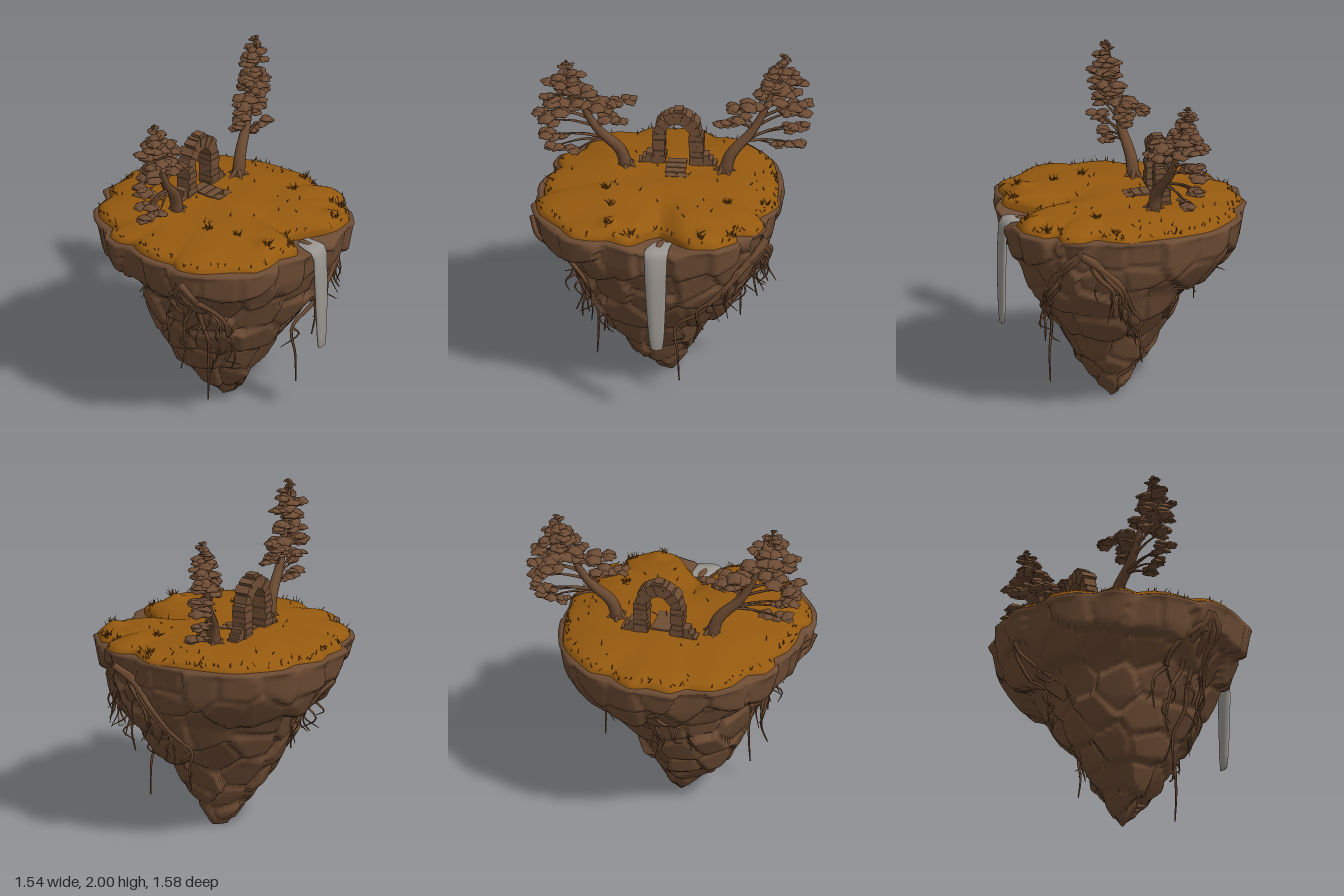
import * as THREE from 'three';
import { mergeGeometries } from 'three/addons/utils/BufferGeometryUtils.js';

const V = (x, y, z) => new THREE.Vector3(x, y, z);
const { lerp, smoothstep, clamp } = THREE.MathUtils;
const TAU = Math.PI * 2;

let seed = 7;
const rand = (a = 0, b = 1) => {
  seed = (seed * 16807) % 2147483647;
  return a + (b - a) * seed / 2147483647;
};

const mat = (name, color) => {
  const m = new THREE.MeshStandardMaterial({ color });
  m.name = name;
  return m;
};

// Island outline seen from above (x, z)
const OUTLINE = [
  [0, -.8], [.17, -.76], [.33, -.7], [.45, -.6], [.55, -.47], [.6, -.38], [.68, -.28], [.69, -.18], [.68, -.1],
  [.77, -.04], [.78, .03], [.76, .1], [.68, .14], [.74, .21], [.7, .37], [.62, .43], [.55, .48], [.49, .53],
  [.38, .52], [.31, .63], [.27, .67], [.1, .68], [.04, .73], [-.1, .79], [-.25, .74], [-.43, .68], [-.54, .57],
  [-.53, .5], [-.62, .4], [-.67, .28], [-.66, .15], [-.73, .1], [-.76, 0], [-.7, -.1], [-.72, -.25],
  [-.67, -.38], [-.55, -.48], [-.52, -.6], [-.38, -.65], [-.3, -.73], [-.12, -.73],
].map(([x, z]) => [(Math.atan2(z, x) + TAU) % TAU, Math.hypot(x, z)]).sort((a, b) => a[0] - b[0]);

function outline(th) {
  th = ((th % TAU) + TAU) % TAU;
  const n = OUTLINE.length;
  let i = OUTLINE.findIndex(p => p[0] > th);
  if (i < 0) i = 0;
  const a = OUTLINE[(i + n - 1) % n], b = OUTLINE[i];
  const span = (b[0] - a[0] + TAU) % TAU;
  return lerp(a[1], b[1], ((th - a[0] + TAU) % TAU) / span);
}
// 1 where the stream leaves the island
const notch = th => Math.exp(-Math.pow((th - .95) / .22, 4));

// Extents of the rock to each side, at these heights
const YS = [0, .05, .2, .4, .6, .76, .82, .9, 1, 1.16];
const PX = [.09, .14, .2, .32, .52, .63, .66, .69, .73, .77];
const NX = [.0, .04, .18, .35, .45, .47, .49, .6, .72, .77];
const PZ = [.02, .07, .22, .33, .46, .53, .56, .62, .73, .77];
const NZ = [.02, .05, .16, .25, .39, .46, .6, .67, .73, .77];
function table(t, y) {
  let i = 1;
  while (i < YS.length - 1 && YS[i] < y) i++;
  return lerp(t[i - 1], t[i], clamp((y - YS[i - 1]) / (YS[i] - YS[i - 1]), 0, 1));
}
function rockBase(th, y) {
  const c = Math.cos(th), s = Math.sin(th);
  const m = lerp(1, outline(th) / .77, smoothstep(y, .6, 1.1));
  return V(c * m * table(c > 0 ? PX : NX, y), y, s * m * table(s > 0 ? PZ : NZ, y));
}

// Closed-ring surface: fn(i, j) gives vertex i of ring j
function loft(n, rings, fn) {
  const pos = [], idx = [];
  for (let j = 0; j < rings; j++) for (let i = 0; i < n; i++) {
    pos.push(...fn(i, j).toArray());
    if (j === rings - 1) continue;
    const a = j * n + i, b = j * n + (i + 1) % n;
    idx.push(a, a + n, b, b, a + n, b + n);
  }
  const g = new THREE.BufferGeometry();
  g.setAttribute('position', new THREE.Float32BufferAttribute(pos, 3));
  g.setIndex(idx);
  g.computeVertexNormals();
  return g;
}

// Tapered tube through points
function tube(pts, r0, r1, seg = 14, sides = 7) {
  const curve = new THREE.CatmullRomCurve3(pts);
  const g = new THREE.TubeGeometry(curve, seg, 1, sides), p = g.attributes.position;
  const v = V(0, 0, 0);
  for (let k = 0; k < p.count; k++) {
    const t = Math.floor(k / (sides + 1)) / seg, c = curve.getPointAt(t);
    v.fromBufferAttribute(p, k).sub(c).multiplyScalar(lerp(r0, r1, t)).add(c);
    p.setXYZ(k, v.x, v.y, v.z);
  }
  return g;
}

// Rock body: boulder-like cells, each flattened towards its own plane
function rockGeometry() {
  const cells = [];
  [[1.07, 20], [.89, 15], [.71, 12], [.53, 10], [.35, 8], [.19, 6], [.05, 4]].forEach(([y, n], k) => {
    for (let i = 0; i < n; i++) {
      const th = (i + rand(-.35, .35) + k * .5) / n * TAU;
      const p = rockBase(th, y + rand(-.05, .05));
      const nrm = V(Math.cos(th + rand(-.25, .25)), y > 1 ? -.15 : -.5 + rand(-.2, .25), Math.sin(th)).normalize();
      cells.push({ p: p.addScaledVector(nrm, rand(-.015, .015)), n: nrm });
    }
  });
  const N = 220, rows = 68, cap = [[.97, 1.172], [.88, 1.168], [.5, 1.165]];
  return loft(N, rows + 1 + cap.length, (i, j) => {
    const th = i / N * TAU;
    if (j > rows) {
      const [s, y] = cap[j - rows - 1], r = outline(th) * s;
      return V(Math.cos(th) * r, y - .035 * notch(th), Math.sin(th) * r);
    }
    if (j === 0) return V(.04, 0, 0);
    const y = 1.16 * (j - 1) / (rows - 1), v = rockBase(th, y);
    let d1 = 9, d2 = 9, best;
    for (const c of cells) {
      const d = c.p.distanceTo(v);
      if (d < d1) { d2 = d1; d1 = d; best = c; } else if (d < d2) d2 = d;
    }
    const fade = smoothstep(1.18 - y, 0, .06) * smoothstep(y, 0, .05);
    const push = clamp(best.p.clone().sub(v).dot(best.n) * .75, -.03, .04);
    const groove = .017 * (1 - smoothstep(d2 - d1, 0, .04));
    v.addScaledVector(best.n, fade * (push - groove));
    v.y = Math.max(v.y - .035 * notch(th) * smoothstep(y, 1.05, 1.16), 0);
    return v;
  });
}

// Turf: low dome with a notch where the stream leaves
const grassEdge = th => outline(th) * (.962 + .012 * Math.cos(th) + .01 * Math.sin(th * 9)) * (1 - .25 * notch(th));
function groundY(x, z) {
  const th = (Math.atan2(z, x) + TAU) % TAU, rho = Math.min(1, Math.hypot(x, z) / grassEdge(th));
  const along = clamp(x * .62 + z * .78, 0, .6), off = Math.hypot(x - along * .62, z - along * .78);
  const mound = (a, b) => .035 * Math.exp(-((x - a) ** 2 + (z - b) ** 2) / .003);
  return 1.193 + .066 * (1 - rho ** 4) - .03 * smoothstep(along, .05, .4) * Math.exp(-off * off / .008)
    + .006 * Math.sin(x * 13) * Math.cos(z * 11) + mound(.58, .33) + mound(.05, .57);
}
function grassGeometry() {
  const N = 180, R = 26;
  return loft(N, R + 1, (i, j) => {
    const th = i / N * TAU, s = j < 2 ? 1 : 1 - (j - 1) / (R - 1);
    const r = grassEdge(th) * (j === 1 ? .992 : s), x = Math.cos(th) * r, z = Math.sin(th) * r;
    return V(x, j === 0 ? 1.155 - .04 * notch(th) : groundY(x, z) - (j === 1 ? .008 : 0), z);
  });
}

// Grass blades: rim fringe, loose blades and clumps
function bladesGeometry() {
  const out = [];
  const blade = (x, z, h, tilt) => {
    const g = new THREE.ConeGeometry(.004, h, 4).translate(0, h / 2, 0);
    g.rotateX(tilt).rotateY(rand(0, TAU));
    out.push(g.translate(x, groundY(x, z) - .004, z));
  };
  for (let i = 0; i < 140; i++) {
    const th = rand(0, TAU), r = grassEdge(th) * (i < 110 ? rand(.93, .99) : Math.sqrt(rand(.02, .9)));
    blade(Math.cos(th) * r, Math.sin(th) * r, rand(.02, .045), rand(.2, 1));
  }
  for (const [x, z] of [[-.2, .28], [-.06, .41], [.47, -.04], [.05, .6], [.2, .58], [.57, .36], [.62, -.2], [.68, .2]])
    for (let i = 0; i < 12; i++) blade(x + rand(-.02, .02), z + rand(-.02, .02), rand(.03, .06), rand(.3, 1.2));
  return mergeGeometries(out);
}

// Leaning pine in its own frame: +x is the lean, pads are [x, y, size, side offset]
const PADS = [
  [.42, 1.4, .055], [.3, 1.39, .045], [.46, 1.5, .06], [.39, 1.48, .05], [.1, 1.59, .06], [.04, 1.58, .045],
  [.16, 1.67, .075], [.07, 1.68, .055], [.46, 1.59, .065], [.4, 1.635, .075], [.5, 1.65, .05], [.29, 1.7, .07],
  [.23, 1.75, .06], [.41, 1.73, .075], [.47, 1.77, .05], [.33, 1.78, .07], [.27, 1.81, .06], [.42, 1.83, .06],
  [.33, 1.85, .065], [.3, 1.89, .05], [.4, 1.89, .05], [.35, 1.92, .045], [.34, 1.955, .03], [.375, 1.96, .028], [.36, 1.985, .02],
];
function makeTree(bark, foliage, extraPads) {
  const tree = new THREE.Group();
  const pts = [[-.01, 1.22], [.03, 1.36], [.15, 1.49], [.22, 1.6], [.29, 1.78], [.36, 1.99]].map(([x, y]) => V(x, y, 0));
  const trunk = new THREE.CatmullRomCurve3(pts);
  const wood = [tube(pts, .042, .005, 30, 10)], leaves = [];
  for (let i = 0; i < 5; i++) {
    const a = i / 5 * TAU;
    wood.push(tube([V(-.01, 1.3, 0), V(-.01 + Math.cos(a) * .035, 1.265, Math.sin(a) * .035),
      V(-.01 + Math.cos(a) * .075, 1.24, Math.sin(a) * .075)], .02, .006, 6));
  }
  [...PADS, ...extraPads].forEach(([x, y, r, side = 0], k) => {
    const w = side + rand(-.03, .03), t = clamp((y - 1.28) / .72, .3, .98), a = trunk.getPointAt(t);
    wood.push(tube([a, V(lerp(a.x, x, .5), lerp(a.y, y, .5) + .015, w * .6), V(x, y - .005, w)], .011, .003, 8, 5));
    for (let b = 0; b < 5; b++) {
      const g = new THREE.SphereGeometry(1, 18, 8), p = g.attributes.position, s = r * rand(.5, .8);
      for (let i = 0; i < p.count; i++) {
        const px = p.getX(i), pz = p.getZ(i);
        const f = 1 + .14 * Math.sin(5 * Math.atan2(pz, px) + k + b);
        p.setXYZ(i, px * f, p.getY(i) * .33 - .25 * (px * px + pz * pz), pz * f);
      }
      g.computeVertexNormals();
      g.rotateZ(rand(-.35, .35)).scale(s, s, s);
      leaves.push(g.translate(x + rand(-.65, .65) * r, y + rand(-.2, .3) * r, w + rand(-.6, .6) * r));
    }
  });
  const add = (name, gs, m) => { const o = new THREE.Mesh(mergeGeometries(gs), m); o.name = name; tree.add(o); };
  add('trunkAndBranches', wood, bark);
  add('foliage', leaves, foliage);
  return tree;
}

// Ruined stone arch with steps
function archGeometry() {
  const out = [];
  const block = (w, h, d, x, y, z = 0, rz = 0) => {
    const g = new THREE.BoxGeometry(w, h, d).rotateY(rand(-.06, .06)).rotateZ(rz);
    out.push(g.translate(x, y, z));
  };
  for (const s of [-1, 1]) {
    for (let i = 0; i < 6; i++) block(.08 + rand(-.012, .014), .034, .085 + rand(-.012, .012), s * .112, 1.255 + i * .036);
    for (let i = 0; i < 3; i++) block(.085 - i * .018, .028, .07, s * (.19 - i * .014), 1.25 + i * .028);
  }
  for (let i = 0; i < 7; i++) {
    const a = (i + .5) / 7 * Math.PI;
    block(.07 + rand(-.008, .012), .05, .083 + rand(-.012, .012), Math.cos(a) * .107, 1.455 + Math.sin(a) * .107, 0, a);
  }
  block(.1, .025, .075, 0, 1.588);
  block(.055, .026, .06, .005, 1.605);
  for (let i = 0; i < 4; i++) for (const s of [-1, 1])
    block(.06, .03, .05, s * .031 + rand(-.008, .008), 1.257 - i * .003, .02 + i * .052);
  return mergeGeometries(out);
}

// Waterfall: [x, y, z, half width, thickness, tilt], tilt 0 lies flat and 1 hangs
function waterGeometry() {
  const S = [[.335, 1.14, .42, .005, .002, 0], [.34, 1.14, .43, .055, .007, 0], [.365, 1.145, .52, .07, .009, 0],
    [.383, 1.14, .555, .072, .014, .5], [.393, 1.1, .574, .068, .018, 1], [.396, .95, .578, .064, .022, 1],
    [.4, .75, .578, .056, .021, 1], [.402, .58, .576, .046, .018, 1], [.402, .5, .575, .036, .012, 1],
    [.402, .49, .575, .002, .002, 1]];
  return loft(20, S.length, (i, j) => {
    const [x, y, z, w, d, k] = S[j], a = i / 20 * TAU;
    const n = V(.57 * k, 1 - k, .82 * k).normalize();
    return V(x, y, z).addScaledVector(V(.82, 0, -.57), Math.cos(a) * w).addScaledVector(n, -Math.sin(a) * d * (1 + .15 * Math.cos(3 * a)));
  });
}

// Roots creep over the rock from one angle, then dangle: [end angle, end height, drop]
function rootsGeometry() {
  const out = [];
  const on = (th, y, lift) => {
    const p = rockBase(th, y), h = Math.hypot(p.x, p.z);
    return p.add(V(p.x / h * lift, 0, p.z / h * lift));
  };
  const cluster = (th0, y0, r, ends) => ends.forEach(([th, y, drop]) => {
    const pts = [];
    for (let i = 0; i <= 5; i++) {
      const t = i / 5, wob = i && i < 5 ? rand(-.04, .04) : 0;
      pts.push(on(lerp(th0, th, t) + wob, lerp(y0, y, t), .004 + .026 * t));
    }
    const e = pts[5];
    pts.push(V(e.x + rand(-.02, .02), e.y - drop * .5, e.z + rand(-.02, .02)), V(e.x + rand(-.03, .03), e.y - drop, e.z));
    out.push(tube(pts, r, .004, 28, 6));
    for (const k of [3, 4, 5]) {
      const q = pts[k], o = () => rand(-.06, .06);
      out.push(tube([q, V(q.x + o(), q.y - .06, q.z + o()), V(q.x + o(), q.y - rand(.1, .17), q.z + o())], .008, .002, 8, 5));
    }
  });
  cluster(-.04, 1.1, .024, [[.75, .5, .36], [.6, .65, .22], [.4, .8, .12], [-.35, .8, .1], [-.6, .68, .15], [-.8, .58, .25]]);
  cluster(2.3, 1.1, .022, [[1.8, .5, .12], [2.0, .64, .18], [2.15, .45, .3], [2.45, .6, .22], [2.7, .72, .2]]);
  cluster(4.1, 1.0, .014, [[3.85, .72, .12], [4.25, .7, .15]]);
  return mergeGeometries(out);
}

export function createModel() {
  const model = new THREE.Group();
  const rock = mat('rock brown', 0x6e4d35), bark = mat('bark brown', 0x6a4931), leaf = mat('foliage brown', 0x6c4b34);
  const turf = mat('ochre turf', 0x965a0f), blade = mat('dark ochre blades', 0x7a480c), water = mat('grey water', 0x9a9590);
  const add = (name, geo, m) => {
    const o = new THREE.Mesh(geo, m);
    o.name = name;
    model.add(o);
    return o;
  };
  add('rockBody', rockGeometry(), rock);
  add('turf', grassGeometry(), turf);
  add('grassBlades', bladesGeometry(), blade);
  add('waterfall', waterGeometry(), water);
  add('poolRock', new THREE.SphereGeometry(1, 12, 8).scale(.02, .014, .055).rotateY(.4).translate(.345, 1.146, .47), rock);
  add('hangingRoots', rootsGeometry(), bark);
  const arch = add('stoneArch', archGeometry(), rock);
  arch.position.set(-.055, 0, -.24);
  arch.rotation.y = .55;
  [
    ['leftTree', -.28, -.02, -.76 * Math.PI, [[-.02, 1.67, .05, .08], [.04, 1.66, .05, .05]]],
    ['rightTree', .24, -.32, .285 * Math.PI, [[-.02, 1.58, .045, -.03]]],
  ].forEach(([name, x, z, turn, extraPads]) => {
    const tree = makeTree(bark, leaf, extraPads);
    tree.name = name;
    tree.position.set(x, 0, z);
    tree.rotation.y = turn;
    model.add(tree);
  });
  return model;
}
